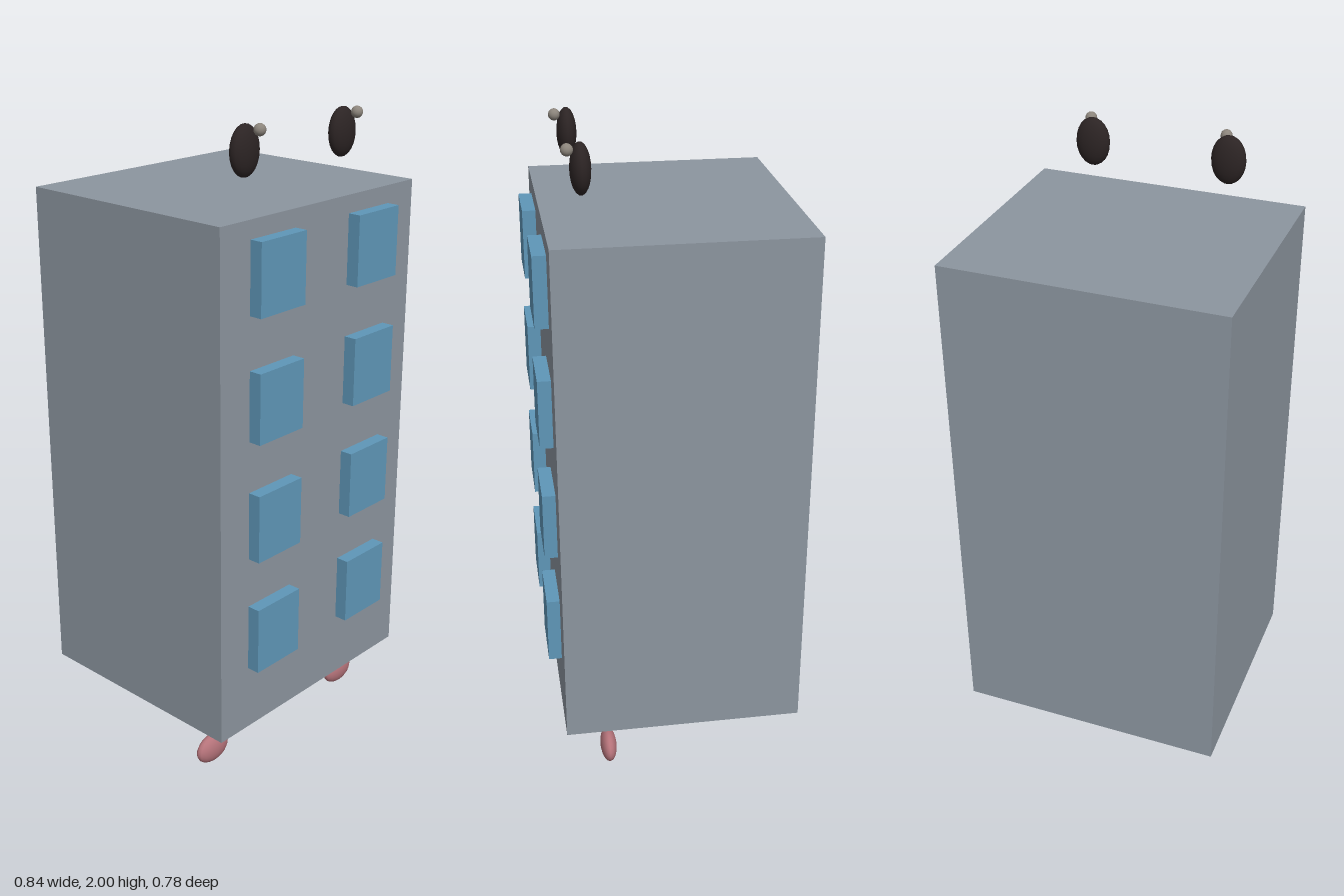
import * as THREE from 'three';

const material = (color) => new THREE.MeshStandardMaterial({ color });

export function createModel() {
  const model = new THREE.Group();
  const wallGrey = material(0x8c959f);
  const glassBlue = material(0x5f97b8);
  const eyeDark = material(0x2c2424);
  const glintGrey = material(0x8c857c);
  const footPink = material(0xb5737a);

  const add = (name, geometry, mat, x, y, z) => {
    const mesh = new THREE.Mesh(geometry, mat);
    mesh.name = name;
    mesh.position.set(x, y, z);
    model.add(mesh);
    return mesh;
  };
  const ellipsoid = (rx, ry, rz) => new THREE.SphereGeometry(1, 16, 12).scale(rx, ry, rz);

  // Tower block
  add('building', new THREE.BoxGeometry(0.842, 1.585, 0.74), wallGrey, 0, 0.9775, -0.02);

  // Two columns of windows, standing proud of the front wall
  const pane = new THREE.BoxGeometry(0.185, 0.212, 0.08);
  const eye = ellipsoid(0.053, 0.073, 0.03);
  const glint = new THREE.SphereGeometry(0.0175, 16, 12);
  const foot = ellipsoid(0.066, 0.0475, 0.026);

  for (const [side, s] of [['left', 1], ['right', -1]]) {
    for (let floor = 0; floor < 4; floor++) {
      add(`${side}Window${floor + 1}`, pane, glassBlue, s * 0.21, 0.5 + floor * 0.37, 0.35);
    }
    // Floating eye; both glints sit toward +x
    add(`${side}Eye`, eye, eyeDark, s * 0.21, 1.925, 0.243);
    add(`${side}Glint`, glint, glintGrey, s * 0.21 + 0.02, 1.9825, 0.28);
    // Floating foot under the building
    add(`${side}Foot`, foot, footPink, s * 0.315, 0.0475, 0.21);
  }
  return model;
}
